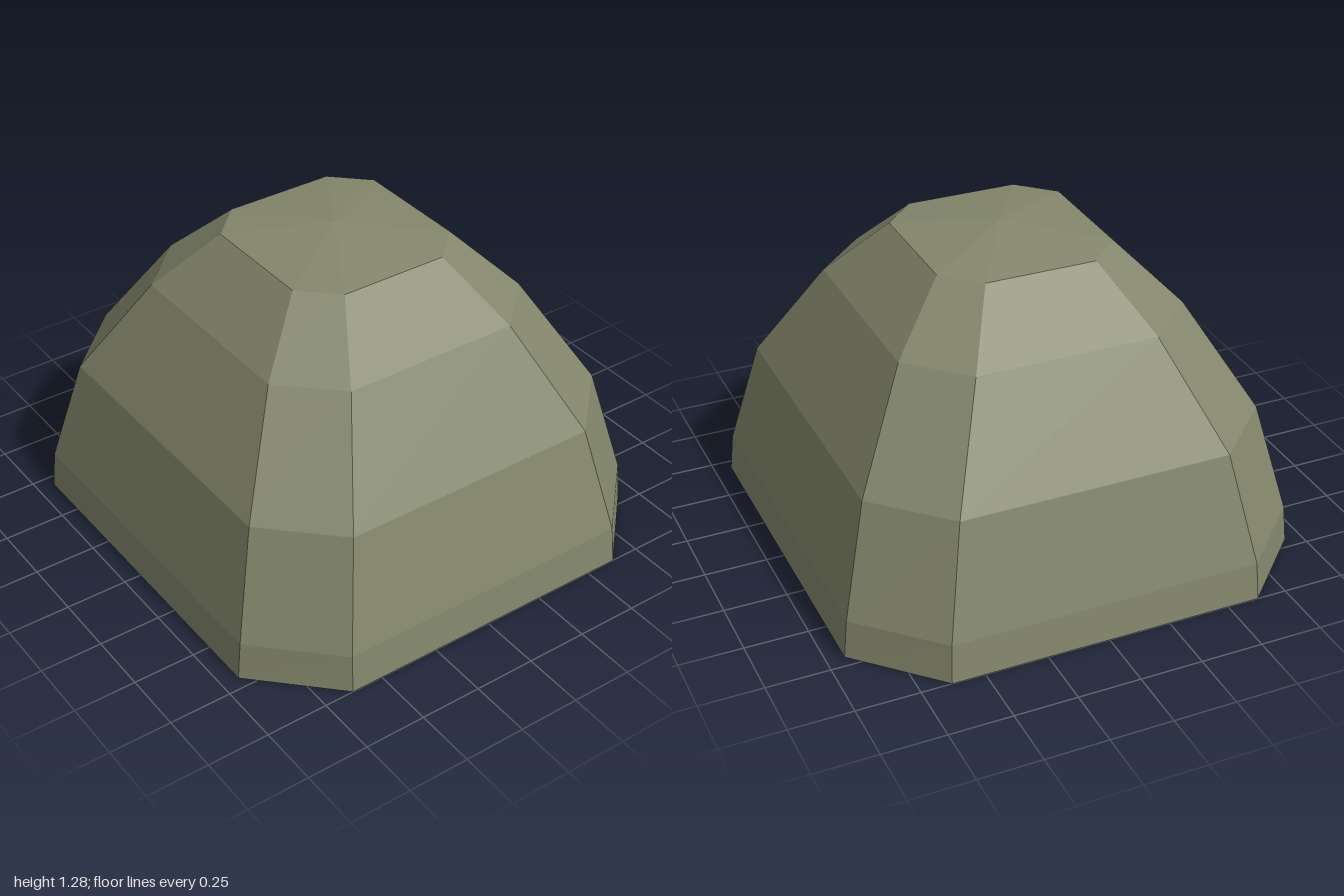
import * as THREE from 'three';

// Chamfered-rectangle cross-sections: height, half width, half depth, corner x, corner z
const SECTIONS = [
  [0, 1, 0.93, 0.7, 0.63],
  [0.155, 0.985, 0.915, 0.695, 0.623],
  [0.595, 0.873, 0.807, 0.61, 0.54],
  [1.0, 0.61, 0.577, 0.403, 0.363],
  [1.23, 0.372, 0.358, 0.24, 0.222],
];
const APEX = 1.28;

// Eight corners, counter-clockwise seen from above
function ring([y, hx, hz, cx, cz]) {
  return [
    [cx, hz], [hx, cz], [hx, -cz], [cx, -hz],
    [-cx, -hz], [-hx, -cz], [-hx, cz], [-cx, hz],
  ].map(([x, z]) => [x, y, z]);
}

function domeGeometry() {
  const rings = SECTIONS.map(ring);
  const top = rings[rings.length - 1];
  const positions = [];
  const tri = (a, b, c) => positions.push(...a, ...b, ...c);

  for (let i = 0; i < 8; i++) {
    const j = (i + 1) % 8;
    // Side facets
    for (let k = 0; k < rings.length - 1; k++) {
      const lo = rings[k], hi = rings[k + 1];
      tri(lo[i], lo[j], hi[j]);
      tri(lo[i], hi[j], hi[i]);
    }
    // Shallow pointed cap and flat underside
    tri(top[i], top[j], [0, APEX, 0]);
    tri(rings[0][j], rings[0][i], [0, 0, 0]);
  }

  const geometry = new THREE.BufferGeometry();
  geometry.setAttribute('position', new THREE.Float32BufferAttribute(positions, 3));
  geometry.computeVertexNormals(); // unshared corners give flat facets
  return geometry;
}

export function createModel() {
  const group = new THREE.Group();
  group.name = 'facetedDome';

  const olive = new THREE.MeshStandardMaterial({ color: 0x84876c });
  olive.name = 'olive grey';

  const dome = new THREE.Mesh(domeGeometry(), olive);
  dome.name = 'dome';
  group.add(dome);
  return group;
}
